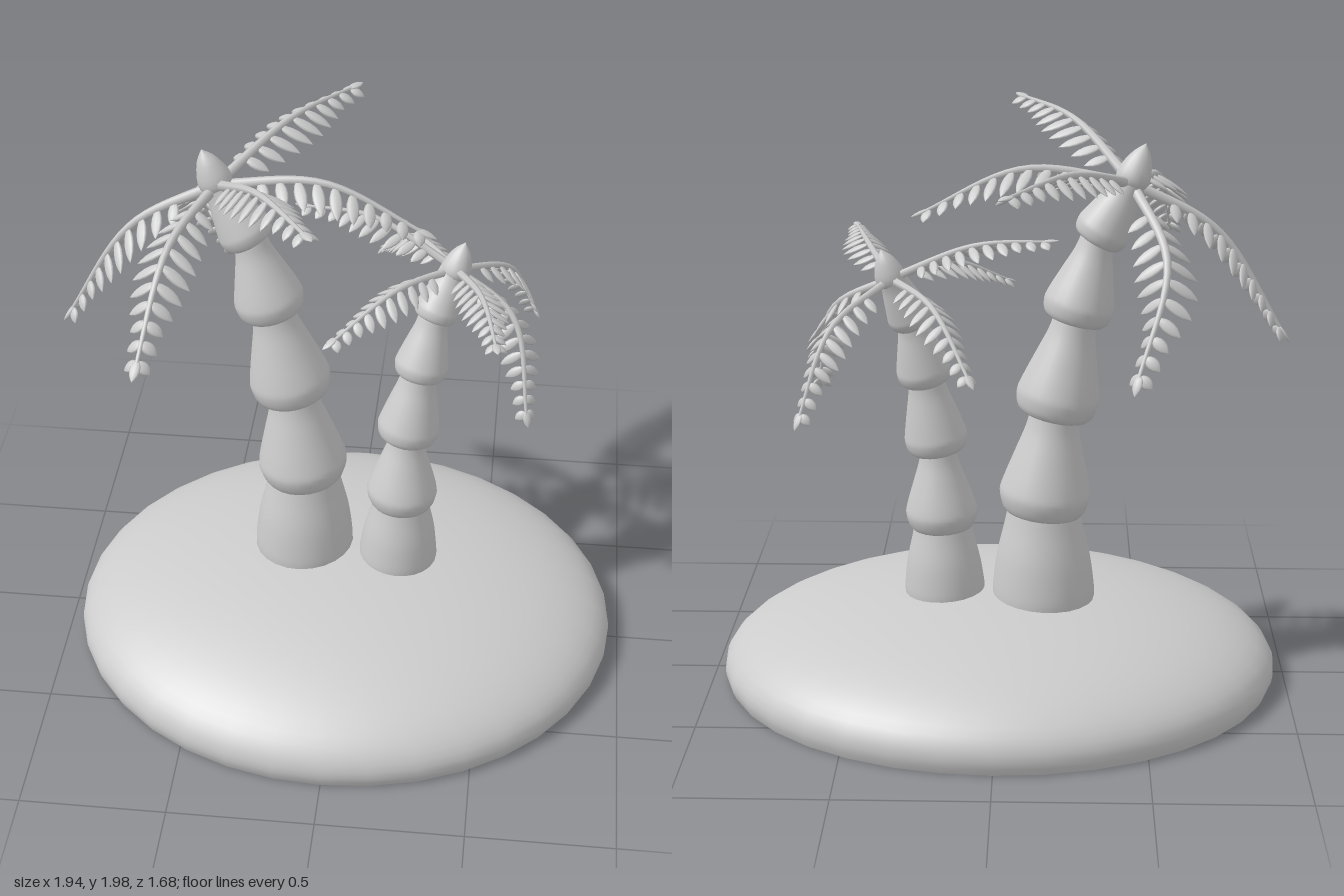
import * as THREE from 'three';
import { mergeGeometries } from 'three/addons/utils/BufferGeometryUtils.js';

const material = new THREE.MeshStandardMaterial({ color: 0xcccccc, side: THREE.DoubleSide });
const vec = (p) => new THREE.Vector3(...p);
const UP = new THREE.Vector3(0, 1, 0);

function addMesh(parent, geometry, name) {
  const mesh = new THREE.Mesh(geometry, material);
  mesh.name = name;
  parent.add(mesh);
  return mesh;
}

// Smooth turned body from [radius, height] points
function turned(points, sides, steps = 14) {
  const curve = new THREE.SplineCurve(points.map(([r, h]) => new THREE.Vector2(r, h)));
  const profile = curve.getPoints(steps).map((p) => p.setX(Math.max(p.x, 0)));
  return new THREE.LatheGeometry(profile, sides);
}

// Moves a turned body from the y axis to run from a towards b
function place(geometry, a, b) {
  const turn = new THREE.Quaternion().setFromUnitVectors(UP, b.clone().sub(a).normalize());
  return geometry.applyQuaternion(turn).translate(a.x, a.y, a.z);
}

// Hollow dome of sand, open underneath
function makeIsland() {
  const profile = [];
  for (let i = 0; i <= 20; i++) {
    const a = THREE.MathUtils.lerp(-0.18, Math.PI / 2, i / 20);
    profile.push(new THREE.Vector2(Math.max(Math.cos(a), 0), 0.05 + 0.28 * Math.sin(a)));
  }
  profile[0].y = 0;
  return new THREE.LatheGeometry(profile, 36).scale(0.965, 1, 0.84);
}

// Trunk of stacked flaring segments; each joint is [centre, neck radius]
function makeTrunk(joints, radii, name) {
  const trunk = new THREE.Group();
  trunk.name = name;
  radii.forEach((R, i) => {
    const a = vec(joints[i][0]), b = vec(joints[i + 1][0]);
    const len = a.distanceTo(b), neck = joints[i + 1][1];
    const mix = (t) => neck + (R - neck) * t;
    const profile = i === 0
      ? [[R, 0], [R * 0.995, len * 0.15], [mix(0.7), len * 0.5], [mix(0.2), len * 0.85], [neck, len]]
      : [[joints[i][1] * 0.9, -0.005], [R * 0.88, 0.0], [R, len * 0.15], [R * 0.95, len * 0.29],
        [mix(0.5), len * 0.58], [mix(0.14), len * 0.84], [neck, len + 0.01]];
    addMesh(trunk, place(turned(profile, 24, 20), a, b), 'trunkSegment');
  });
  return trunk;
}

// Flat pointed leaflet, one unit long
const leafletBase = turned([[0, 0], [0.3, 0.12], [0.5, 0.42], [0.38, 0.75], [0, 1]], 8, 7);

function makeLeaflet(origin, direction, along, length, width) {
  const y = direction.clone().normalize();
  const x = along.clone().addScaledVector(y, -along.dot(y)).normalize();
  const z = x.clone().cross(y);
  const m = new THREE.Matrix4().makeBasis(x, y, z).setPosition(origin);
  return leafletBase.clone().scale(width, length, width * 0.4).applyMatrix4(m);
}

// Arched frond: tapering stalk with paired drooping leaflets
function makeFrond(points, size) {
  const curve = new THREE.CatmullRomCurve3(points.map(vec));
  const rings = 18, sides = 6;
  const stalk = new THREE.TubeGeometry(curve, rings, 0.019 * size, sides);
  const pos = stalk.attributes.position;
  const v = new THREE.Vector3();
  for (let i = 0; i < pos.count; i++) {
    const t = Math.floor(i / (sides + 1)) / rings;
    v.fromBufferAttribute(pos, i).lerp(curve.getPointAt(t), t * 0.7);
    pos.setXYZ(i, v.x, v.y, v.z);
  }
  const parts = [stalk];
  const pairs = 10;
  for (let i = 0; i < pairs; i++) {
    const f = i / (pairs - 1);
    const t = 0.2 + 0.74 * f;
    const origin = curve.getPointAt(t), along = curve.getTangentAt(t);
    const side = along.clone().cross(UP).normalize();
    const normal = side.clone().cross(along);
    const length = 0.128 * size * (0.72 + 0.3 * Math.sin(Math.PI * Math.min(f * 1.3, 1)) - 0.27 * f * f);
    for (const s of [-1, 1]) {
      const direction = side.clone().multiplyScalar(s)
        .addScaledVector(along, 0.3 + 0.35 * f)
        .addScaledVector(normal, -0.6);
      parts.push(makeLeaflet(origin, direction, along, length, 0.042 * size));
    }
  }
  // Leaflet closing the tip
  const end = curve.getTangentAt(1);
  parts.push(makeLeaflet(curve.getPointAt(0.93), end, end.clone().cross(UP), 0.075 * size, 0.035 * size));
  return mergeGeometries(parts);
}

// Whole palm: trunk, bud and a crown of fronds given as [middle, tip]
function makePalm({ name, joints, radii, bud, budRadius, heart, fronds, size }) {
  const palm = new THREE.Group();
  palm.name = name;
  palm.add(makeTrunk(joints, radii, 'trunk'));
  const [a, b] = bud.map(vec);
  const h = a.distanceTo(b), r = budRadius;
  const budShape = turned([[0, 0], [r * 0.85, h * 0.15], [r, h * 0.38], [r * 0.6, h * 0.75], [0, h]], 16);
  addMesh(palm, place(budShape, a, b), 'bud');
  fronds.forEach(([mid, tip]) => addMesh(palm, makeFrond([heart, mid, tip], size), 'frond'));
  return palm;
}

export function createModel() {
  const model = new THREE.Group();
  model.name = 'palmIsland';
  addMesh(model, makeIsland(), 'island');

  model.add(makePalm({
    name: 'tallPalm',
    joints: [
      [[-0.155, 0.31, -0.065], 0.175], [[-0.152, 0.63, -0.07], 0.122], [[-0.188, 0.98, -0.08], 0.08],
      [[-0.255, 1.31, -0.09], 0.07], [[-0.325, 1.58, -0.1], 0.055], [[-0.43, 1.77, -0.12], 0.05],
    ],
    radii: [0.175, 0.155, 0.14, 0.118, 0.092],
    bud: [[-0.42, 1.74, -0.12], [-0.478, 1.9, -0.12]],
    budRadius: 0.056,
    heart: [-0.435, 1.77, -0.12],
    size: 1,
    fronds: [
      [[-0.72, 1.61, -0.1], [-0.96, 1.24, -0.075]],
      [[-0.54, 1.73, 0.22], [-0.6, 1.48, 0.55]],
      [[-0.25, 1.93, 0.18], [-0.06, 1.97, 0.47]],
      [[-0.08, 1.81, -0.1], [0.27, 1.65, -0.07]],
      [[-0.23, 1.85, -0.43], [-0.03, 1.83, -0.72]],
      [[-0.54, 1.56, -0.39], [-0.44, 1.2, -0.57]],
    ],
  }));

  model.add(makePalm({
    name: 'shortPalm',
    joints: [
      [[0.188, 0.31, -0.03], 0.138], [[0.195, 0.56, -0.035], 0.097], [[0.208, 0.84, -0.05], 0.058],
      [[0.245, 1.09, -0.075], 0.06], [[0.285, 1.3, -0.115], 0.05], [[0.345, 1.46, -0.17], 0.045],
    ],
    radii: [0.138, 0.123, 0.107, 0.092, 0.075],
    bud: [[0.34, 1.42, -0.16], [0.38, 1.56, -0.185]],
    budRadius: 0.05,
    heart: [0.35, 1.46, -0.175],
    size: 0.8,
    fronds: [
      [[0.07, 1.59, -0.26], [-0.18, 1.61, -0.28]],
      [[0.2, 1.42, -0.42], [0.07, 1.23, -0.63]],
      [[0.53, 1.34, -0.38], [0.63, 1.06, -0.52]],
      [[0.55, 1.34, -0.09], [0.62, 1.02, 0.07]],
      [[0.45, 1.53, 0.09], [0.51, 1.53, 0.37]],
      [[0.17, 1.48, 0.0], [-0.04, 1.37, 0.18]],
    ],
  }));
  return model;
}
